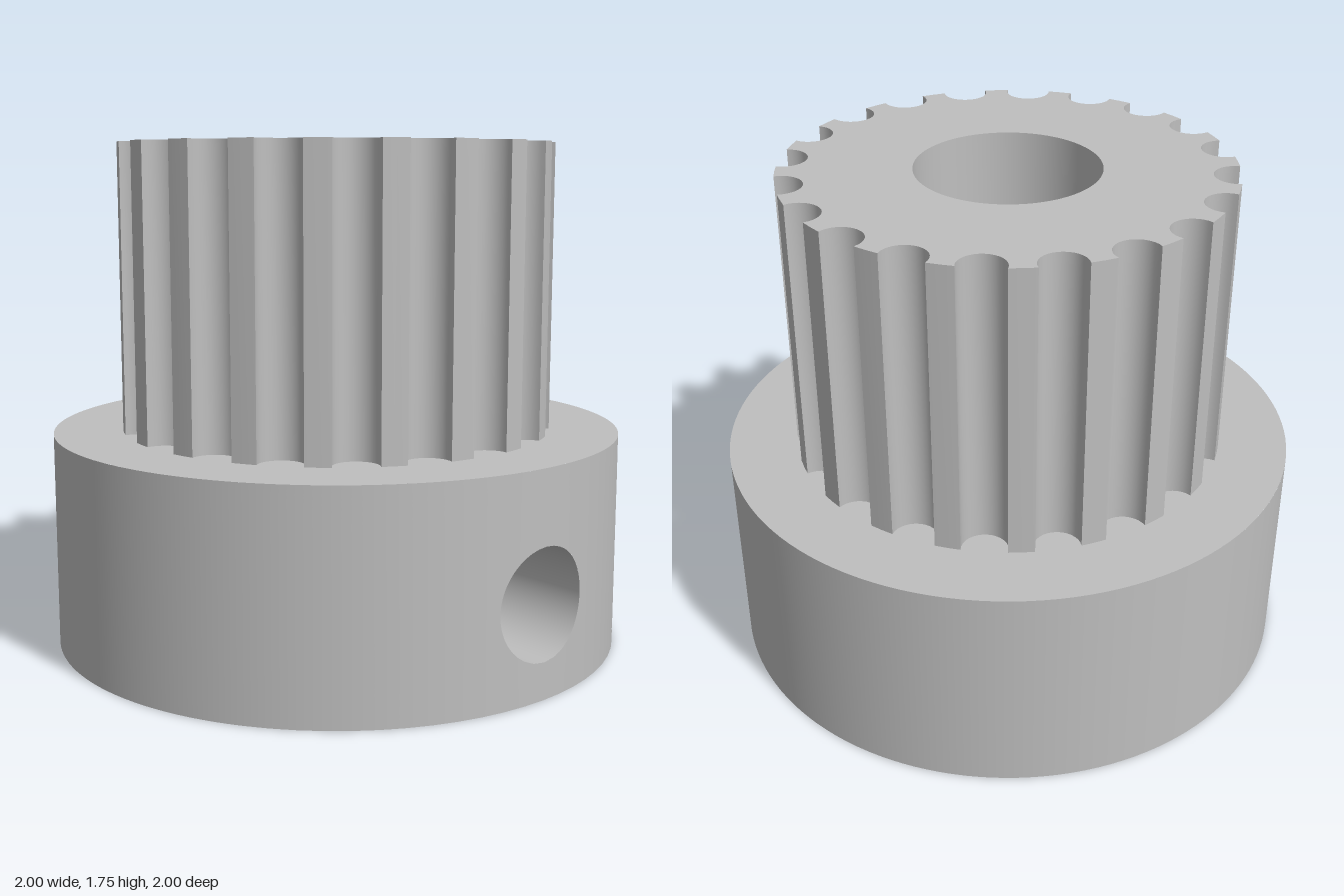
import * as THREE from 'three';
import { toCreasedNormals } from 'three/addons/utils/BufferGeometryUtils.js';
import { ParametricGeometry } from 'three/addons/geometries/ParametricGeometry.js';

const HUB_R = 1, HUB_H = 0.75, TOP = 1.75, BORE_R = 0.3125;
const HOLE_R = 0.1875, HOLE_Y = 0.3125;      // set screw hole on the +x side
const TEETH = 20, TOOTH_R = 0.76, GROOVE_R = 0.077, GROOVE_D = 0.745;
const PATCH = 1;                             // half angle of the wall patch around the hole

// Point at (a, b) from the hole axis, dropped on a cylinder of radius R
const onCylinder = (R, a, b, target) =>
  target.set(Math.sqrt(Math.max(0, R * R - a * a)), HOLE_Y + b, -a);

// Walk around the edge of a wall patch, u from 0 to 1
function patchEdge(R, u) {
  const edge = Math.min(3, Math.floor(u * 4)), f = u * 4 - edge;
  const lo = -HOLE_Y, hi = HUB_H - HOLE_Y, w = R * Math.sin(PATCH);
  const across = R * Math.sin(PATCH * (2 * f - 1));
  return [[across, lo], [w, lo + (hi - lo) * f], [-across, hi], [-w, hi - (hi - lo) * f]][edge];
}

// Wall patch with the round hole cut out of it
function piercedPatch(R, outward) {
  return new ParametricGeometry((u, v, target) => {
    const [a, b] = patchEdge(R, u);
    const t = Math.atan2(b, a), k = outward ? v : 1 - v;
    onCylinder(R, a + (HOLE_R * Math.cos(t) - a) * k, b + (HOLE_R * Math.sin(t) - b) * k, target);
  }, 96, 12);
}

// Remainder of a cylindrical wall, beyond the patch
function wallRest(R, outward) {
  return new ParametricGeometry((u, v, target) => {
    const angle = PATCH + u * (2 * Math.PI - 2 * PATCH);
    target.set(R * Math.cos(angle), HUB_H * (outward ? v : 1 - v), -R * Math.sin(angle));
  }, 96, 1);
}

// Toothed outline with round grooves and a bore
function toothShape() {
  const points = [];
  const x = (TOOTH_R ** 2 + GROOVE_D ** 2 - GROOVE_R ** 2) / (2 * GROOVE_D);
  const h = Math.sqrt(TOOTH_R ** 2 - x * x);
  const start = Math.atan2(h, x - GROOVE_D), steps = 16;
  for (let i = 0; i < TEETH; i++) {
    const mid = (i / TEETH) * 2 * Math.PI;
    for (let j = 0; j <= steps; j++) {
      const t = -start - (j / steps) * (2 * Math.PI - 2 * start);
      const p = new THREE.Vector2(GROOVE_D + GROOVE_R * Math.cos(t), GROOVE_R * Math.sin(t));
      points.push(p.rotateAround(new THREE.Vector2(), mid));
    }
    const tip = mid + Math.PI / TEETH;
    points.push(new THREE.Vector2(TOOTH_R * Math.cos(tip), TOOTH_R * Math.sin(tip)));
  }
  const shape = new THREE.Shape(points);
  shape.holes.push(new THREE.Path().absarc(0, 0, BORE_R, 0, Math.PI * 2, true));
  return shape;
}

export function createModel() {
  const group = new THREE.Group();
  const metal = new THREE.MeshStandardMaterial({ color: 0xbfbfbf });
  metal.name = 'grey metal';
  const add = (name, geometry) => {
    const mesh = new THREE.Mesh(geometry, metal);
    mesh.name = name;
    group.add(mesh);
    return mesh;
  };

  // Hub walls
  add('hubWall', wallRest(HUB_R, true));
  add('hubWallAroundHole', piercedPatch(HUB_R, true));
  add('boreWall', wallRest(BORE_R, false));
  add('boreWallAroundHole', piercedPatch(BORE_R, false));

  // Hub end faces
  add('hubTop', new THREE.RingGeometry(0.6, HUB_R, 128).rotateX(-Math.PI / 2)).position.y = HUB_H;
  add('hubBottom', new THREE.RingGeometry(BORE_R, HUB_R, 128).rotateX(Math.PI / 2));

  // Set screw hole running from the hub wall into the bore
  add('screwHole', new ParametricGeometry((u, v, target) => {
    const a = HOLE_R * Math.cos(u * 2 * Math.PI), b = HOLE_R * Math.sin(u * 2 * Math.PI);
    const inner = Math.sqrt(BORE_R ** 2 - a * a);
    onCylinder(HUB_R, a, b, target);
    target.x += (inner - target.x) * v;
  }, 64, 1));

  // Toothed drum
  const drum = new THREE.ExtrudeGeometry(toothShape(),
    { depth: TOP - HUB_H, bevelEnabled: false, curveSegments: 48 });
  add('toothedDrum', toCreasedNormals(drum.rotateX(-Math.PI / 2), 0.5)).position.y = HUB_H;

  return group;
}
